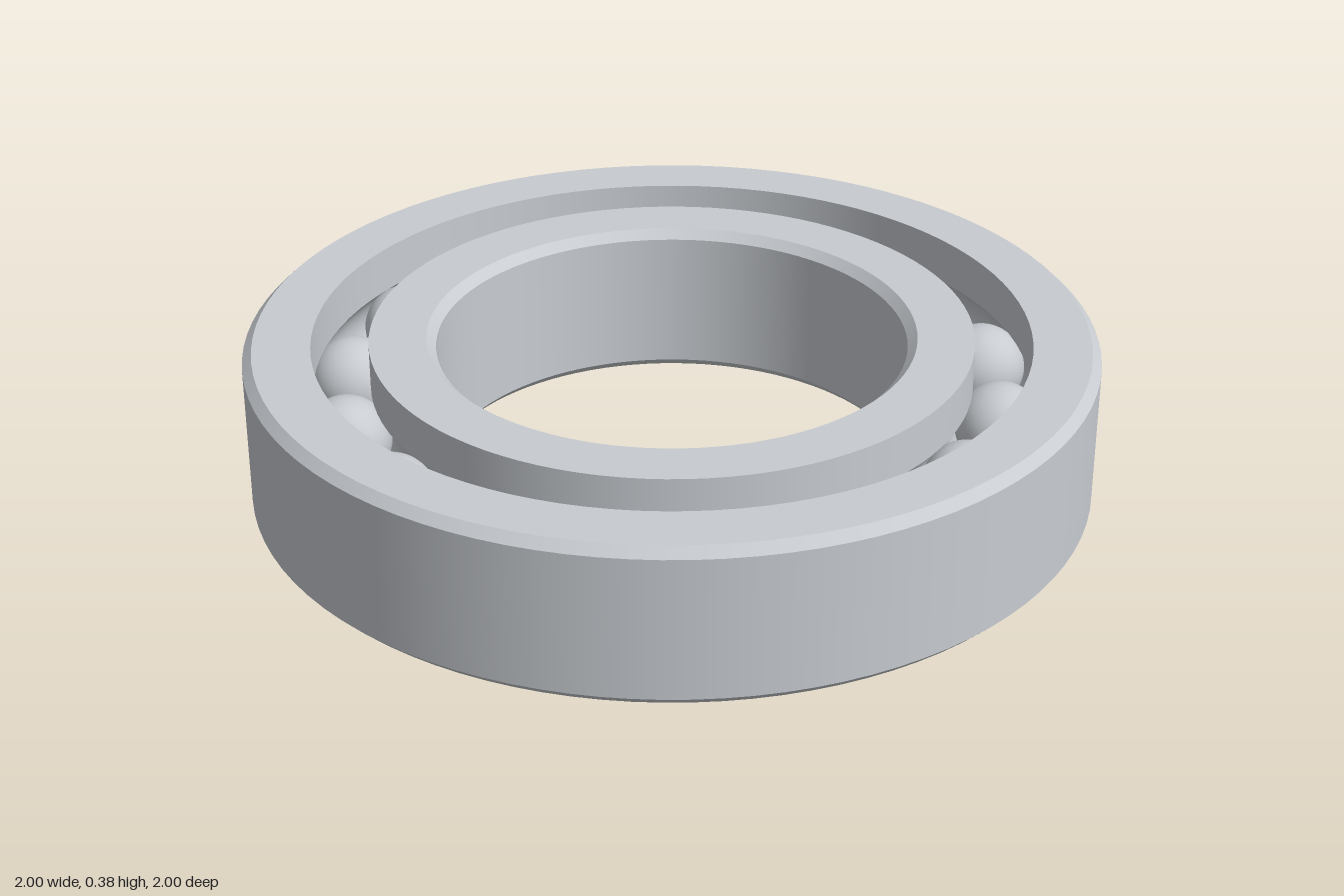
import * as THREE from 'three';
import { mergeGeometries } from 'three/addons/utils/BufferGeometryUtils.js';

const HEIGHT = 0.384, MID = HEIGHT / 2, CHAMFER = 0.022;
const PITCH = 0.775, BALL_RADIUS = 0.105, BALL_COUNT = 16;

// Revolves each run of [radius, y] points separately, so edges between runs stay sharp
function revolve(runs) {
  return mergeGeometries(runs.map((run) =>
    new THREE.LatheGeometry(run.map(([r, y]) => new THREE.Vector2(r, y)), 96)));
}

// Arc of the ball groove cut into a wall of the given radius, from start to -start in y
function groove(wall, direction) {
  const side = Math.sign(wall - PITCH);
  const half = Math.acos(Math.abs(wall - PITCH) / BALL_RADIUS);
  const points = [];
  for (let i = 0; i <= 14; i++) {
    const a = direction * half * (i / 7 - 1);
    points.push([PITCH + side * BALL_RADIUS * Math.cos(a), MID + BALL_RADIUS * Math.sin(a)]);
  }
  return points;
}

export function createModel() {
  const model = new THREE.Group();
  model.name = 'ballBearing';
  const steel = new THREE.MeshStandardMaterial({ color: 0xc8ccd1 });
  steel.name = 'steel';

  const add = (name, geometry, parent = model) => {
    const mesh = new THREE.Mesh(geometry, steel);
    mesh.name = name;
    parent.add(mesh);
    return mesh;
  };

  const low = CHAMFER, high = HEIGHT - CHAMFER;

  // Outer ring: chamfered outside, grooved inside
  const outerWall = 0.842;
  const outerGroove = groove(outerWall, -1);
  add('outerRing', revolve([
    [[1 - CHAMFER, 0], [1, low]],
    [[1, low], [1, high]],
    [[1, high], [1 - CHAMFER, HEIGHT]],
    [[1 - CHAMFER, HEIGHT], [outerWall, HEIGHT]],
    [[outerWall, HEIGHT], outerGroove[0]],
    outerGroove,
    [outerGroove.at(-1), [outerWall, 0]],
    [[outerWall, 0], [1 - CHAMFER, 0]],
  ]));

  // Inner ring: grooved outside, chamfered bore
  const innerWall = 0.708, bore = 0.552;
  const innerGroove = groove(innerWall, 1);
  add('innerRing', revolve([
    [[innerWall, 0], innerGroove[0]],
    innerGroove,
    [innerGroove.at(-1), [innerWall, HEIGHT]],
    [[innerWall, HEIGHT], [bore + CHAMFER, HEIGHT]],
    [[bore + CHAMFER, HEIGHT], [bore, high]],
    [[bore, high], [bore, low]],
    [[bore, low], [bore + CHAMFER, 0]],
    [[bore + CHAMFER, 0], [innerWall, 0]],
  ]));

  // Balls evenly spaced between the rings
  const balls = new THREE.Group();
  balls.name = 'balls';
  model.add(balls);
  const ballGeometry = new THREE.SphereGeometry(BALL_RADIUS, 32, 20);
  for (let i = 0; i < BALL_COUNT; i++) {
    const a = (i / BALL_COUNT) * Math.PI * 2;
    add(`ball${i + 1}`, ballGeometry, balls)
      .position.set(PITCH * Math.cos(a), MID, PITCH * Math.sin(a));
  }

  return model;
}
